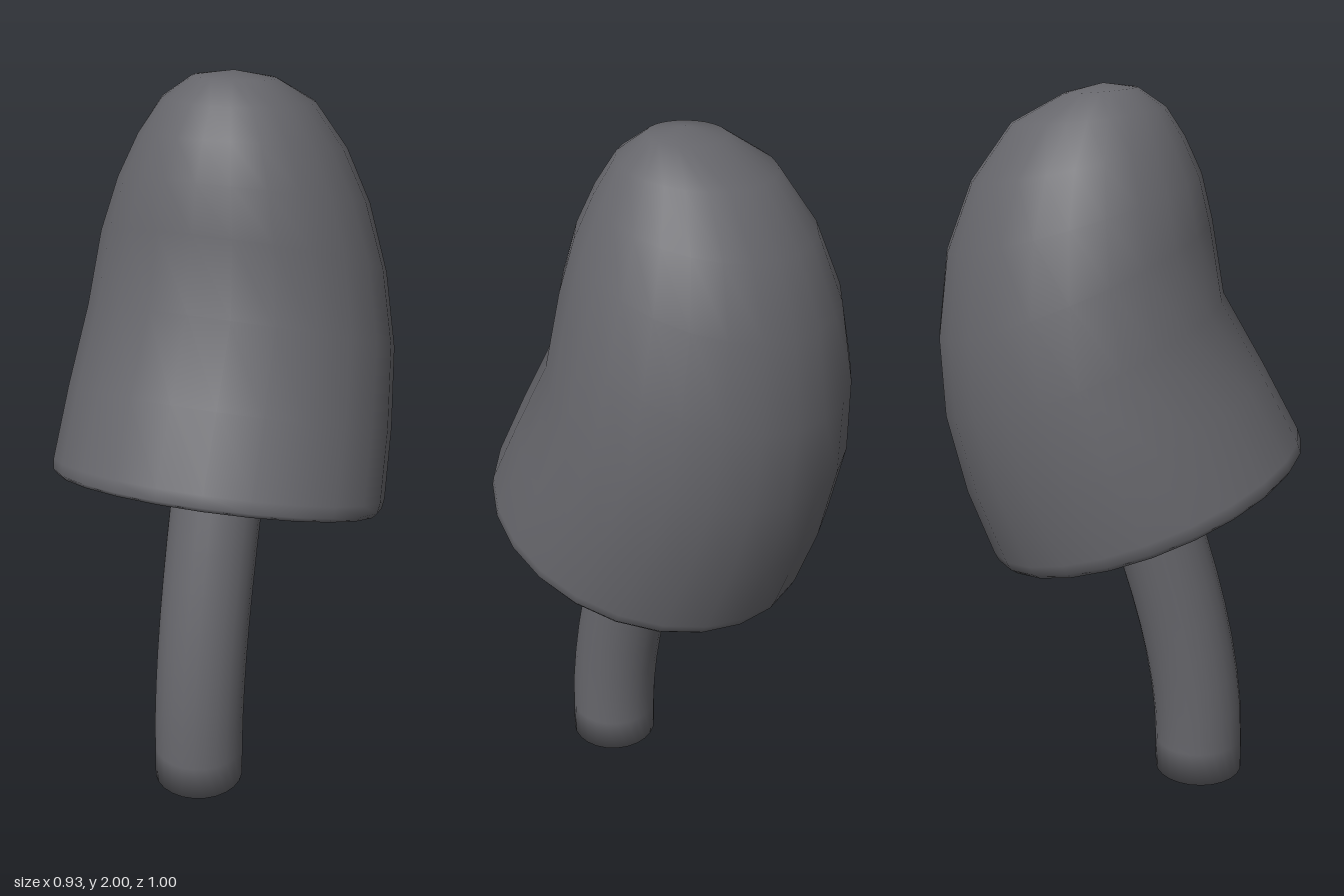
import * as THREE from 'three';
import { mergeVertices } from 'three/addons/utils/BufferGeometryUtils.js';

const SIDES = 24;

// Skins tilted elliptical rings, listed along the surface.
// Ring: [front z, front y, back z, back y, half width in x]
function loft(rings) {
  const pos = [], index = [];
  for (const [fz, fy, bz, by, w] of rings) {
    for (let j = 0; j < SIDES; j++) {
      const a = (j / SIDES) * Math.PI * 2;
      const t = (1 - Math.cos(a)) / 2;
      pos.push(w * Math.sin(a), fy + (by - fy) * t, fz + (bz - fz) * t);
    }
  }
  for (let i = 0; i < rings.length - 1; i++) {
    for (let j = 0; j < SIDES; j++) {
      const k = (j + 1) % SIDES;
      const a = i * SIDES + j, b = a + SIDES, c = (i + 1) * SIDES + k, d = i * SIDES + k;
      index.push(a, b, c, a, c, d);
    }
  }
  const g = new THREE.BufferGeometry();
  g.setAttribute('position', new THREE.Float32BufferAttribute(pos, 3));
  g.setIndex(index);
  const merged = mergeVertices(g, 1e-5);
  merged.computeVertexNormals();
  return merged;
}

// Same ring pulled inward by a wall thickness
function inset([fz, fy, bz, by, w], t) {
  const len = Math.hypot(fz - bz, fy - by);
  const uz = (fz - bz) / len * t, uy = (fy - by) / len * t;
  return [fz - uz, fy - uy, bz + uz, by + uy, w - t];
}

export function createModel() {
  const group = new THREE.Group();
  const grey = new THREE.MeshStandardMaterial({ color: 0x66666b, side: THREE.DoubleSide });
  grey.name = 'dark grey';

  // Cap: outer skin from crown to rim, then the hollow inside back up
  const outer = [
    [-0.05, 2.0, -0.05, 2.0, 0],
    [0.04, 1.99, -0.15, 1.975, 0.11],
    [0.115, 1.94, -0.29, 1.9, 0.2],
    [0.165, 1.865, -0.4, 1.75, 0.275],
    [0.21, 1.77, -0.47, 1.57, 0.338],
    [0.24, 1.65, -0.5, 1.34, 0.393],
    [0.275, 1.45, -0.49, 1.13, 0.432],
    [0.39, 1.25, -0.44, 0.915, 0.455],
    [0.49, 1.065, -0.372, 0.735, 0.466],
    [0.5, 1.035, -0.36, 0.712, 0.462],
    [0.49, 1.02, -0.34, 0.7, 0.45],
  ];
  const inner = outer.slice(2, 9).reverse().map((r) => inset(r, 0.035));
  const roof = [-0.08, 1.9, -0.08, 1.9, 0];
  const cap = new THREE.Mesh(loft([...outer, ...inner, roof]), grey);
  cap.name = 'cap';
  group.add(cap);

  // Stem: round tube leaning back as it rises into the cap
  const r = 0.129;
  const path = new THREE.CatmullRomCurve3(
    [[0.231, 0], [0.225, 0.2], [0.197, 0.4], [0.15, 0.6], [0.08, 0.83], [0, 1.05], [-0.08, 1.25]]
      .map(([z, y]) => new THREE.Vector3(0, y, z)));
  const stemRings = [];
  const steps = 12;
  for (let i = steps; i >= 0; i--) {
    const p = path.getPoint(i / steps), d = path.getTangent(i / steps);
    if (i === 0) d.set(0, 1, 0);
    if (i === steps) stemRings.push([p.z, p.y, p.z, p.y, 0]);
    stemRings.push([p.z + r * d.y, p.y - r * d.z, p.z - r * d.y, p.y + r * d.z, r]);
  }
  stemRings.push([0.231, 0, 0.231, 0, 0]);
  const stem = new THREE.Mesh(loft(stemRings), grey);
  stem.name = 'stem';
  group.add(stem);

  return group;
}
